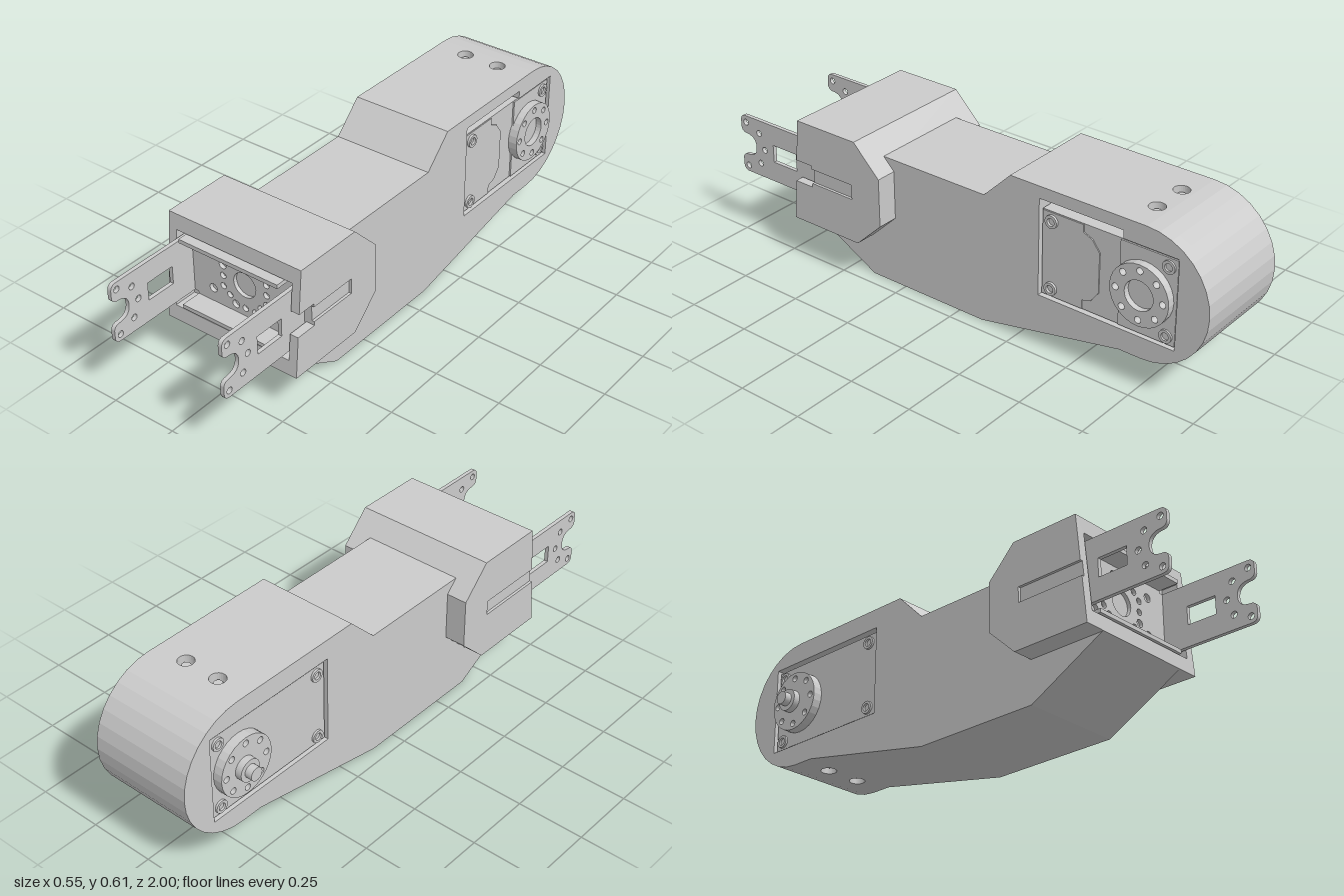
import * as THREE from 'three';

const grey = new THREE.MeshStandardMaterial({ color: 0xcccccc });

function add(parent, name, geometry) {
  const mesh = new THREE.Mesh(geometry, grey);
  mesh.name = name;
  parent.add(mesh);
  return mesh;
}

const polygon = (pts) => new THREE.Shape(pts.map((p) => new THREE.Vector2(p[0], p[1])));
const hole = (x, y, r) => new THREE.Path().absarc(x, y, r, 0, Math.PI * 2, true);
const pathOf = (pts) => new THREE.Path(pts.map((p) => new THREE.Vector2(p[0], p[1])));
const side = (pts) => pts.map(([z, y]) => [-z, y]);
const extrude = (shape, depth) =>
  new THREE.ExtrudeGeometry(shape, { depth, bevelEnabled: false, curveSegments: 14 });

// Extrude a side outline (drawn in -z, y) across the width from x0 to x1
const across = (shape, x0, x1) => extrude(shape, x1 - x0).rotateY(Math.PI / 2).translate(x0, 0, 0);

// Cylinder lying along x
const xCylinder = (r, x0, x1, y, z, n = 32) =>
  new THREE.CylinderGeometry(r, r, Math.abs(x1 - x0), n).rotateZ(Math.PI / 2).translate((x0 + x1) / 2, y, z);

const AXIS_Z = -0.755, AXIS_Y = 0.36, HALF = 0.195;

// Arm outline with shallow seats for the screw blocks at top and bottom
function bodyShape() {
  const arc = [];
  for (let i = 0; i <= 16; i++) {
    const a = -Math.PI / 2 + (Math.PI * i) / 16;
    arc.push([AXIS_Z - 0.245 * Math.cos(a), AXIS_Y + 0.245 * Math.sin(a)]);
  }
  return polygon(side([
    [0.7, 0.16], [0.4, 0], [-0.1, 0], [-0.67, 0.115],
    [-0.67, 0.15], [-0.75, 0.15], [-0.75, 0.115], ...arc,
    [-0.75, 0.605], [-0.75, 0.57], [-0.67, 0.57], [-0.67, 0.605],
    [-0.22, 0.605], [-0.11, 0.495], [0.5, 0.495], [0.5, 0.16],
  ]));
}

function createBody() {
  const g = new THREE.Group();
  g.name = 'armBody';
  const main = bodyShape();
  main.holes.push(pathOf(side([[-0.34, 0.195], [-0.34, 0.53], [-0.88, 0.53], [-0.88, 0.195]])));
  add(g, 'armShell', across(main, -HALF, 0.15));

  // Left skin: the bay is widened above by a sloping cable relief
  const skin = bodyShape();
  skin.holes.push(pathOf(side([
    [-0.34, 0.195], [-0.34, 0.56], [-0.67, 0.56], [-0.67, 0.53], [-0.88, 0.53], [-0.88, 0.195],
  ])));
  const geo = across(skin, 0.15, HALF);
  const p = geo.attributes.position;
  for (let i = 0; i < p.count; i++) {
    if (p.getX(i) < 0.16 && Math.abs(p.getY(i) - 0.56) < 1e-4) p.setY(i, 0.53);
  }
  geo.computeVertexNormals();
  add(g, 'armLeftSkin', geo);

  // Drilled screw blocks
  for (const [y0, y1, name] of [[0.57, 0.605, 'upper'], [0.115, 0.15, 'lower']]) {
    const block = polygon([[-HALF, 0.67], [HALF, 0.67], [HALF, 0.75], [-HALF, 0.75]]);
    for (const x of [-0.07, 0.07]) block.holes.push(hole(x, 0.71, 0.029));
    add(g, name + 'ScrewBlock', extrude(block, y1 - y0).rotateX(-Math.PI / 2).translate(0, y0, 0));
    for (const x of [-0.07, 0.07]) {
      add(g, name + 'Screw', new THREE.CylinderGeometry(0.016, 0.016, 0.02, 16))
        .position.set(x, y0 > 0.3 ? y0 + 0.008 : y1 - 0.008, -0.71);
    }
  }
  return g;
}

function createHousing() {
  const g = new THREE.Group();
  g.name = 'frontHousing';
  const X = 0.275, S = 0.265, Z = 0.61;
  const back = [[0.4, 0.16], [0.29, 0.265], [0.29, 0.45], [0.4, 0.56], [Z, 0.56]];
  add(g, 'housingCore', across(polygon(side([[Z, 0.16], ...back])), -S, S));
  // Side skins with long shallow grooves
  const skin = polygon(side([
    [Z, 0.16], ...back, [Z, 0.387], [0.42, 0.387], [0.42, 0.33], [Z, 0.33],
  ]));
  add(g, 'leftHousingSkin', across(skin, S, X));
  add(g, 'rightHousingSkin', across(skin, -X, -S));
  // Pocket rim, cut through on the left and raked back towards the top
  const rim = polygon([
    [X, 0.315], [X, 0.16], [-X, 0.16], [-X, 0.33], [-S, 0.33], [-S, 0.387], [-X, 0.387],
    [-X, 0.56], [X, 0.56], [X, 0.4], [0.242, 0.4], [0.242, 0.502], [-0.242, 0.502],
    [-0.242, 0.215], [0.242, 0.215], [0.242, 0.315],
  ]);
  const geo = extrude(rim, 0.09).translate(0, 0, Z);
  const p = geo.attributes.position;
  for (let i = 0; i < p.count; i++) {
    if (p.getZ(i) > 0.65) p.setZ(i, 0.705 - (p.getY(i) - 0.16) * 0.09);
  }
  geo.computeVertexNormals();
  add(g, 'housingRim', geo);
  return g;
}

function createBracket() {
  const g = new THREE.Group();
  g.name = 'forkBracket';
  const cy = 0.358;
  // Base plate with its ring of holes
  const base = polygon([
    [-0.237, 0.245], [-0.207, 0.245], [-0.207, 0.22], [0.207, 0.22], [0.207, 0.245], [0.237, 0.245],
    [0.237, 0.473], [0.207, 0.473], [0.207, 0.496], [-0.207, 0.496], [-0.207, 0.473], [-0.237, 0.473],
  ]);
  base.holes.push(hole(0, cy, 0.047));
  for (let i = 0; i < 8; i++) {
    const a = (i * Math.PI) / 4;
    base.holes.push(hole(0.092 * Math.cos(a), cy + 0.092 * Math.sin(a), 0.012));
  }
  for (let i = 0; i < 4; i++) {
    for (const [deg, r] of [[24, 0.012], [66, 0.0145]]) {
      const a = ((deg + i * 90) * Math.PI) / 180;
      base.holes.push(hole(0.101 * Math.cos(a), cy + 0.101 * Math.sin(a), r));
    }
  }
  for (const x of [-0.138, 0.138]) for (const y of [-0.07, 0.07]) base.holes.push(hole(x, cy + y, 0.016));
  add(g, 'bracketBase', extrude(base, 0.014).translate(0, 0, 0.612));
  // Folded lips
  for (const y of [0.228, 0.488]) {
    add(g, 'bracketLip', new THREE.BoxGeometry(0.412, 0.015, 0.09)).position.set(0, y, 0.659);
  }
  // Forked side plates
  const arm = new THREE.Shape();
  arm.moveTo(-0.612, 0.245);
  arm.lineTo(-0.612, 0.473);
  arm.lineTo(-0.975, 0.473);
  arm.quadraticCurveTo(-1, 0.473, -1, 0.448);
  arm.lineTo(-1, 0.42);
  arm.quadraticCurveTo(-0.995, 0.402, -0.975, 0.402);
  arm.quadraticCurveTo(-0.928, 0.4, -0.928, 0.359);
  arm.quadraticCurveTo(-0.928, 0.318, -0.975, 0.316);
  arm.quadraticCurveTo(-0.995, 0.316, -1, 0.298);
  arm.lineTo(-1, 0.27);
  arm.quadraticCurveTo(-1, 0.245, -0.975, 0.245);
  arm.holes.push(pathOf(side([[0.725, 0.325], [0.725, 0.393], [0.84, 0.393], [0.84, 0.325]])));
  for (const [z, y] of [[0.975, 0.446], [0.975, 0.27], [0.91, 0.42], [0.91, 0.298], [0.885, 0.359]]) {
    arm.holes.push(hole(-z, y, 0.012));
  }
  add(g, 'leftForkPlate', across(arm, 0.222, 0.237));
  add(g, 'rightForkPlate', across(arm, -0.237, -0.222));
  return g;
}

function createServo() {
  const g = new THREE.Group();
  g.name = 'jointMotor';
  const F = 0.18, cz = -0.75;
  add(g, 'motorCase', new THREE.BoxGeometry(2 * F, 0.32, 0.53)).position.set(0, 0.36, -0.61);
  const bossRing = new THREE.Shape().absarc(0, 0, 0.024, 0, Math.PI * 2);
  bossRing.holes.push(hole(0, 0, 0.014));
  const disc = (inner) => {
    const s = new THREE.Shape().absarc(-cz, AXIS_Y, 0.113, 0, Math.PI * 2);
    if (inner) s.holes.push(hole(-cz, AXIS_Y, inner));
    for (let i = 0; i < 8; i++) {
      const a = (i * Math.PI) / 4;
      s.holes.push(hole(-cz + 0.09 * Math.cos(a), AXIS_Y + 0.09 * Math.sin(a), 0.012));
    }
    return s;
  };
  const frontPanel = polygon(side([
    [-0.347, 0.202], [-0.347, 0.518], [-0.51, 0.518], [-0.51, 0.49], [-0.545, 0.475], [-0.575, 0.435],
    [-0.575, 0.285], [-0.545, 0.245], [-0.51, 0.235], [-0.51, 0.202],
  ]));
  const rearPanel = polygon(side([[-0.655, 0.202], [-0.655, 0.518], [-0.873, 0.518], [-0.873, 0.202]]));
  const flatPanel = polygon(side([[-0.347, 0.202], [-0.347, 0.518], [-0.873, 0.518], [-0.873, 0.202]]));
  add(g, 'leftFrontPanel', across(frontPanel, F, F + 0.004));
  add(g, 'leftRearPanel', across(rearPanel, F, F + 0.006));
  add(g, 'rightPanel', across(flatPanel, -F - 0.005, -F));
  // Corner screw bosses on both faces
  for (const z of [-0.385, -0.84]) {
    for (const y of [0.232, 0.486]) {
      for (const x of [F, -F - 0.013]) {
        add(g, 'screwBoss', across(bossRing, x, x + 0.013).translate(0, y, z));
      }
    }
  }
  // Idler ring on the left, drive horn and shaft on the right
  add(g, 'idlerRing', across(disc(0.055), F, 0.215));
  add(g, 'idlerSeat', xCylinder(0.07, F, 0.193, AXIS_Y, cz));
  add(g, 'driveHorn', across(disc(0), -0.22, -F));
  add(g, 'driveHub', xCylinder(0.042, -0.22, -0.245, AXIS_Y, cz - 0.01));
  add(g, 'driveShaft', xCylinder(0.025, -0.24, -0.272, AXIS_Y, cz - 0.01, 20));
  return g;
}

export function createModel() {
  const model = new THREE.Group();
  model.name = 'robotArmLink';
  model.add(createBody(), createHousing(), createBracket(), createServo());
  return model;
}
